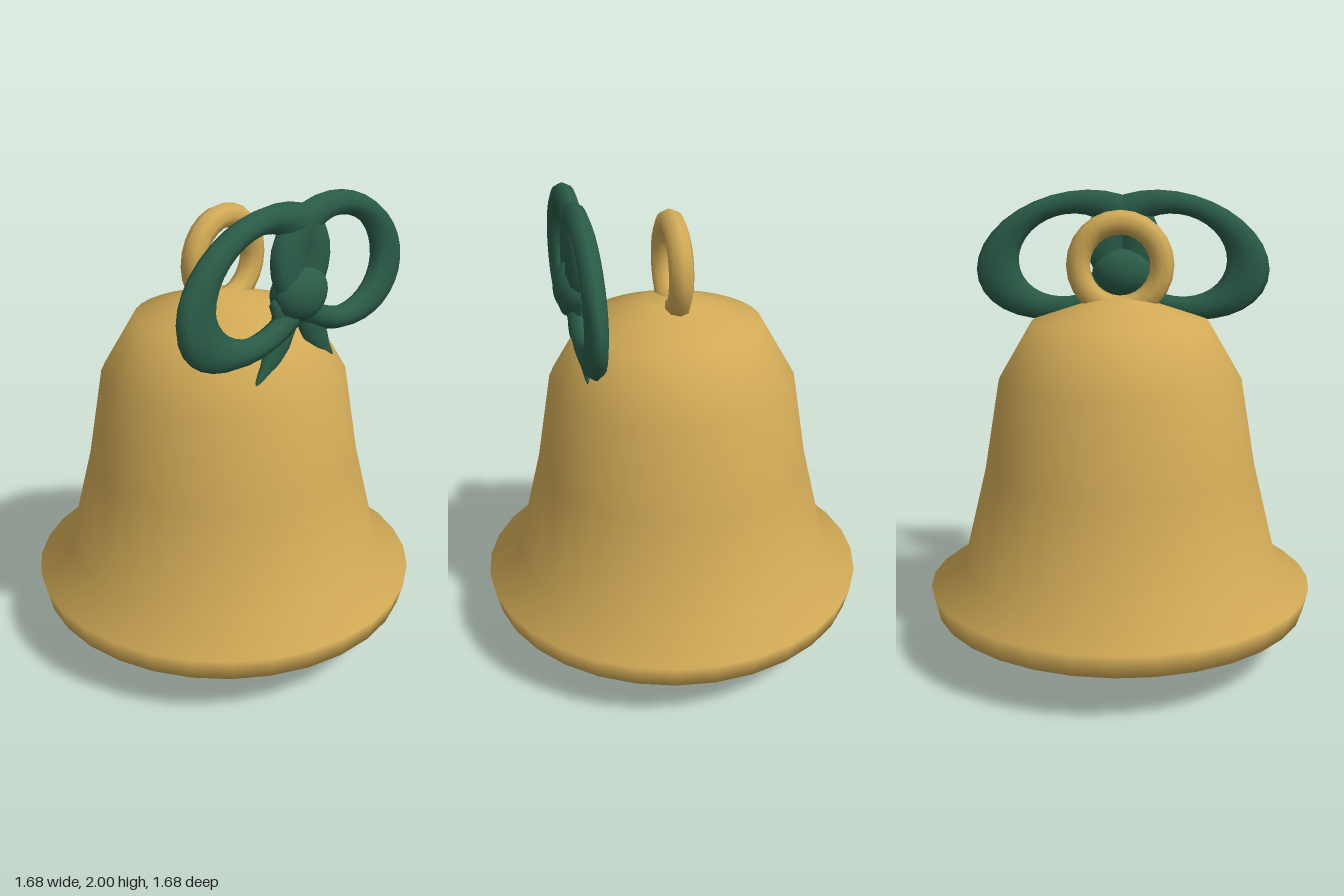
import * as THREE from 'three';
import { mergeVertices } from 'three/addons/utils/BufferGeometryUtils.js';

const gold = new THREE.MeshStandardMaterial({ color: 0xd1aa56 });
gold.name = 'gold';
const green = new THREE.MeshStandardMaterial({ color: 0x2a5c47 });
green.name = 'ribbon green';

function add(parent, name, geometry, material, x = 0, y = 0, z = 0) {
  const mesh = new THREE.Mesh(geometry, material);
  mesh.name = name;
  mesh.position.set(x, y, z);
  parent.add(mesh);
  return mesh;
}

// Round shell turned from [radius, y] points
function turned(points) {
  return new THREE.LatheGeometry(points.map(([r, y]) => new THREE.Vector2(r, y)), 32);
}

// Weld seams and give a moved geometry smooth normals
function smooth(geometry) {
  geometry.deleteAttribute('uv');
  geometry.deleteAttribute('normal');
  const welded = mergeVertices(geometry, 1e-4);
  welded.computeVertexNormals();
  return welded;
}

// Elliptical ribbon ring, wider at its ends than along its top and bottom
function loopGeometry() {
  const tube = 0.25;
  const g = new THREE.TorusGeometry(1, tube, 8, 32);
  const p = g.attributes.position;
  for (let i = 0; i < p.count; i++) {
    const x = p.getX(i), y = p.getY(i);
    const r = Math.hypot(x, y);
    const out = (r - 1) / tube;
    p.setXYZ(i, (x / r) * (0.333 + 0.101 * out), (y / r) * (0.232 + 0.048 * out), (p.getZ(i) / tube) * 0.044);
  }
  return smooth(g);
}

// Ribbon end lofted through rows of [y, inner x, outer x, half depth]
function tailGeometry(side) {
  const rows = [
    [1.63, 0.07, 0.145, 0.012],
    [1.605, 0.03, 0.162, 0.03],
    [1.56, 0.01, 0.14, 0.035],
    [1.5, 0.01, 0.155, 0.035],
    [1.42, 0.05, 0.195, 0.03],
    [1.375, 0.095, 0.21, 0.024],
    [1.35, 0.13, 0.226, 0.018],
    [1.325, 0.185, 0.24, 0.013],
    [1.298, 0.235, 0.25, 0.005],
  ];
  const g = new THREE.CylinderGeometry(1, 1, 1, 12, rows.length - 1);
  const p = g.attributes.position;
  for (let i = 0; i < p.count; i++) {
    const row = rows[Math.round((0.5 - p.getY(i)) * (rows.length - 1))];
    const [y, inner, outer, depth] = row;
    const x = side * (inner + outer) / 2 + p.getX(i) * (outer - inner) / 2;
    p.setXYZ(i, x, y, p.getZ(i) * depth);
  }
  return smooth(g);
}

export function createModel() {
  const model = new THREE.Group();
  model.name = 'bell';

  // Outer body from the turned-in lip up to the crown
  add(model, 'bellBody', turned([
    [0.71, 0.16], [0.815, 0.211], [0.838, 0.31], [0.692, 0.41], [0.588, 0.83],
    [0.523, 1.21], [0.376, 1.46], [0.12, 1.545], [0, 1.56],
  ]), gold);

  // Thick-walled hollow, from its ceiling down to the lip
  add(model, 'bellInside', turned([
    [0, 1.43], [0.3, 1.36], [0.43, 1.17], [0.5, 0.83], [0.605, 0.41], [0.71, 0.16],
  ]), gold);

  // Hanging ring and clapper
  add(model, 'hangingRing', new THREE.TorusGeometry(0.178, 0.051, 8, 24), gold, 0, 1.692, 0);
  add(model, 'clapperRod', new THREE.CylinderGeometry(0.033, 0.033, 1.2, 12), gold, 0, 0.9, 0);
  add(model, 'clapperBall', new THREE.SphereGeometry(0.187, 24, 16), gold, 0, 0.187, 0);

  // Bow at the front shoulder
  const bow = new THREE.Group();
  bow.name = 'bow';
  bow.position.z = 0.4;
  model.add(bow);
  for (const side of [1, -1]) {
    const label = side > 0 ? 'left' : 'right';
    const loop = add(bow, label + 'BowLoop', loopGeometry(), green, side * 0.25, 1.707, 0);
    loop.rotation.z = -side * 0.277;
    add(bow, label + 'BowTail', tailGeometry(side), green, 0, 0, -0.01);
  }
  const knot = add(bow, 'bowKnot', new THREE.SphereGeometry(1, 20, 14), green, 0, 1.63, -0.003);
  knot.scale.set(0.14, 0.114, 0.092);

  return model;
}
